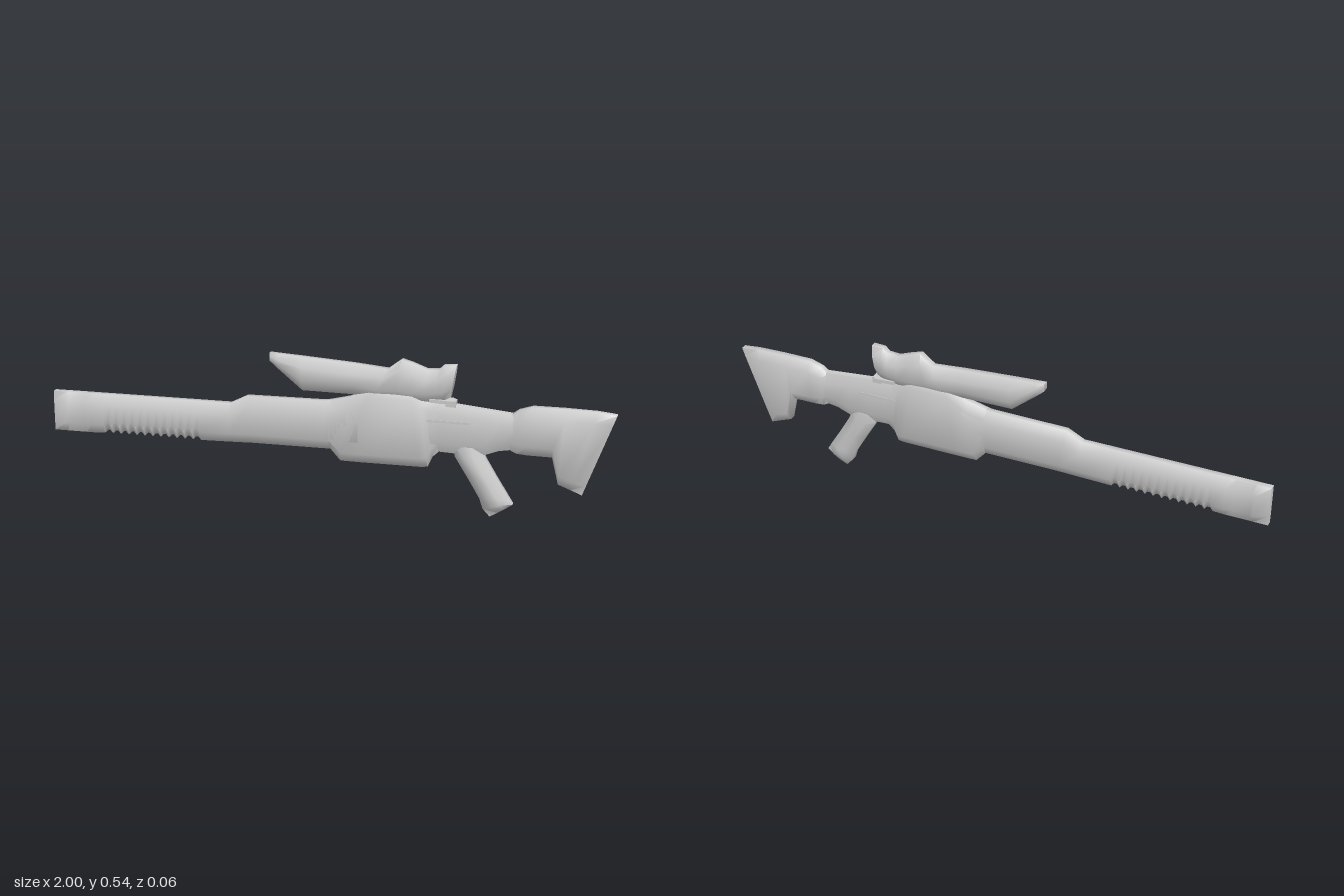
import * as THREE from 'three';
import { toCreasedNormals } from 'three/addons/utils/BufferGeometryUtils.js';

const material = new THREE.MeshStandardMaterial({ color: 0xcccccc });
const HALF = 0.0315; // half thickness of the flat body
const EDGE = 0.011; // half thickness along the outline
const CHAMFER = 0.035;

// Chamfered slab lofted through stations [ax, ay, bx, by, halfWidth].
// a and b are opposite outline points; each ring has eight corners.
function loft(name, stations, crease = 1.1) {
  const positions = [], index = [];
  for (const [ax, ay, bx, by, w = HALF] of stations) {
    const length = Math.hypot(bx - ax, by - ay);
    const c = Math.min(CHAMFER / length, 0.36);
    const e = Math.min(EDGE, w);
    const ring = [[0, e], [c, w], [1 - c, w], [1, e], [1, -e], [1 - c, -w], [c, -w], [0, -e]];
    for (const [t, z] of ring) positions.push(ax + (bx - ax) * t, ay + (by - ay) * t, z);
  }
  const last = (stations.length - 1) * 8;
  for (let s = 0; s < last; s += 8) {
    for (let i = 0; i < 8; i++) {
      const j = (i + 1) % 8;
      index.push(s + i, s + j, s + 8 + i, s + j, s + 8 + j, s + 8 + i);
    }
  }
  for (let i = 1; i < 7; i++) {
    index.push(0, i + 1, i, last, last + i, last + i + 1);
  }
  const geometry = new THREE.BufferGeometry();
  geometry.setAttribute('position', new THREE.Float32BufferAttribute(positions, 3));
  geometry.setIndex(index);
  const mesh = new THREE.Mesh(toCreasedNormals(geometry, crease), material);
  mesh.name = name;
  return mesh;
}

function box(name, w, h, d, x, y, angle = 0) {
  const mesh = new THREE.Mesh(new THREE.BoxGeometry(w, h, d), material);
  mesh.name = name;
  mesh.position.set(x, y, 0);
  mesh.rotation.z = angle;
  return mesh;
}

export function createModel() {
  const group = new THREE.Group();
  group.name = 'rifle';

  // Barrel with a recessed muzzle band and a serrated underside
  const barrel = [
    [-1, 0.345, -1, 0.2, 0.012],
    [-0.95, 0.345, -0.95, 0.2],
    [-0.94, 0.345, -0.94, 0.2, 0.026],
    [-0.88, 0.345, -0.88, 0.2, 0.028],
    [-0.85, 0.345, -0.85, 0.2],
  ];
  const teeth = 12;
  for (let i = 0; i < teeth; i++) {
    const x = -0.81 + i * 0.03;
    barrel.push([x, 0.345, x, 0.202], [x + 0.009, 0.345, x + 0.009, 0.214],
      [x + 0.02, 0.345, x + 0.02, 0.214]);
  }
  barrel.push(
    [-0.45, 0.345, -0.45, 0.202],
    [-0.34, 0.345, -0.34, 0.204],
    [-0.28, 0.375, -0.26, 0.206],
    [0, 0.377, 0, 0.206],
    [0.12, 0.4, 0.12, 0.206],
  );
  group.add(loft('barrel', barrel));

  // Receiver housing
  group.add(loft('receiver', [
    [0, 0.376, 0.02, 0.205],
    [0.09, 0.398, 0.055, 0.166],
    [0.16, 0.44, 0.12, 0.165],
    [0.3, 0.44, 0.34, 0.165],
    [0.335, 0.41, 0.362, 0.168, 0.03],
    [0.36, 0.405, 0.378, 0.205, 0.025],
    [0.41, 0.4, 0.4, 0.225, 0.022],
  ]));

  // Neck between receiver and stock
  group.add(loft('neck', [
    [0.3, 0.405, 0.34, 0.215, 0.027],
    [0.4, 0.4, 0.4, 0.225, 0.025],
    [0.47, 0.393, 0.47, 0.222, 0.025],
    [0.55, 0.385, 0.555, 0.224, 0.025],
    [0.61, 0.379, 0.605, 0.243, 0.025],
    [0.67, 0.373, 0.66, 0.252, 0.024],
  ]));
  group.add(box('neckRail', 0.17, 0.008, 0.054, 0.42, 0.336));

  // Shoulder stock with a drooping heel
  group.add(loft('stock', [
    [0.64, 0.37, 0.64, 0.25, 0.022],
    [0.668, 0.39, 0.665, 0.238, 0.027],
    [0.715, 0.405, 0.7, 0.235],
    [0.8, 0.405, 0.785, 0.234],
    [0.825, 0.405, 0.808, 0.14],
    [0.93, 0.402, 0.85, 0.124],
    [0.995, 0.395, 0.89, 0.108, 0.012],
  ]));

  // Angled grip
  group.add(loft('grip', [
    [0.545, 0.25, 0.45, 0.25, 0.024],
    [0.56, 0.212, 0.455, 0.212, 0.029],
    [0.6, 0.145, 0.5, 0.14],
    [0.64, 0.082, 0.543, 0.068],
    [0.648, 0.068, 0.555, 0.032],
    [0.657, 0.054, 0.58, 0.005, 0.016],
  ]));

  // Scope with a swept-back objective and a flared eyepiece
  group.add(loft('scope', [
    [-0.197, 0.535, -0.197, 0.508, 0.012],
    [-0.165, 0.533, -0.165, 0.48, 0.024],
    [-0.08, 0.528, -0.08, 0.41, 0.031],
    [0.1, 0.516, 0.1, 0.408, 0.031],
    [0.22, 0.505, 0.17, 0.4, 0.031],
    [0.267, 0.541, 0.24, 0.4, 0.031],
    [0.305, 0.53, 0.3, 0.395, 0.031],
    [0.355, 0.511, 0.35, 0.395, 0.031],
    [0.395, 0.514, 0.385, 0.4, 0.031],
    [0.412, 0.53, 0.41, 0.405, 0.031],
    [0.455, 0.532, 0.437, 0.42, 0.024],
  ]));

  // Charging lever behind the scope
  group.add(box('leverArm', 0.08, 0.012, 0.05, 0.405, 0.405, -0.05));
  group.add(box('leverKnob', 0.035, 0.022, 0.034, 0.438, 0.398, -0.05));

  return group;
}
